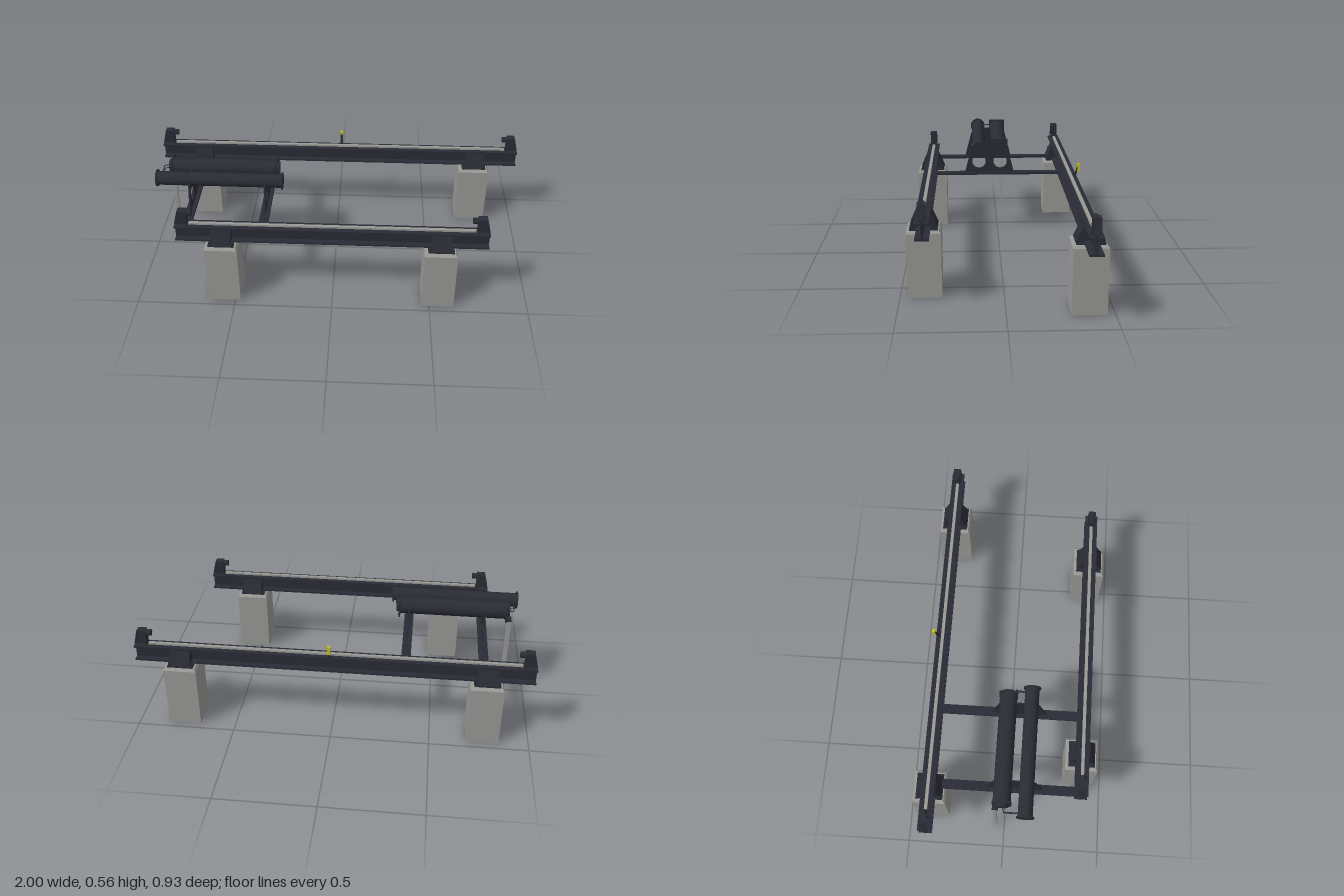
import * as THREE from 'three';

const steel = new THREE.MeshStandardMaterial({ color: 0x2b2b35, name: 'darkSteel' });
const concrete = new THREE.MeshStandardMaterial({ color: 0x999996, name: 'concreteGrey' });
const yellow = new THREE.MeshStandardMaterial({ color: 0xc8c010, name: 'signalYellow' });

function add(parent, name, geometry, material, x = 0, y = 0, z = 0) {
  const mesh = new THREE.Mesh(geometry, material);
  mesh.name = name;
  mesh.position.set(x, y, z);
  parent.add(mesh);
  return mesh;
}

const box = (w, h, d) => new THREE.BoxGeometry(w, h, d);
const rod = (r, length, sides = 32) => new THREE.CylinderGeometry(r, r, length, sides).rotateZ(Math.PI / 2);
const polygon = (pts) => new THREE.Shape(pts.map(([a, b]) => new THREE.Vector2(a, b)));

// Extrudes a shape along z, centred on z = 0
function slab(shape, depth) {
  return new THREE.ExtrudeGeometry(shape, { depth, bevelEnabled: false }).translate(0, 0, -depth / 2);
}
// Extrudes a profile drawn in (z, y) along x, centred on x = 0
const slabX = (shape, depth) => slab(shape, depth).rotateY(-Math.PI / 2);

// Concrete block with a chamfered top edge
function pier(parent, x, z) {
  const shaft = new THREE.CylinderGeometry(0.0825 * Math.SQRT2, 0.0825 * Math.SQRT2, 0.322, 4, 1, true).rotateY(Math.PI / 4);
  const group = new THREE.Group();
  group.name = 'pier';
  group.position.set(x, 0, z);
  parent.add(group);
  add(group, 'pierBlock', shaft.toNonIndexed(), concrete, 0, 0.161, 0).geometry.computeVertexNormals();
  const cap = new THREE.CylinderGeometry(0.073 * Math.SQRT2, 0.0825 * Math.SQRT2, 0.012, 4).rotateY(Math.PI / 4).toNonIndexed();
  cap.computeVertexNormals();
  add(group, 'pierCap', cap, concrete, 0, 0.328, 0);
  add(group, 'pierBottom', box(0.165, 0.004, 0.165), concrete, 0, 0.002, 0);

  // Bolted saddle clamping the beam
  add(group, 'basePlate', box(0.13, 0.008, 0.135), steel, 0, 0.338, 0);
  for (const sx of [-1, 1]) {
    for (const sz of [-1, 1]) {
      const gusset = polygon([[0.003, 0.34], [0.066 * sz, 0.34], [0.066 * sz, 0.348], [0.034 * sz, 0.42], [0.003 * sz, 0.42]]);
      add(group, 'gusset', slabX(gusset, 0.006), steel, sx * 0.047, 0, 0);
      add(group, 'anchorBolt', new THREE.CylinderGeometry(0.005, 0.005, 0.014, 6), steel, sx * 0.058, 0.347, sz * 0.055);
    }
  }
  // Sloping cheek plates between the gussets
  for (const sz of [-1, 1]) {
    const cheek = add(group, 'cheekPlate', box(0.094, 0.076, 0.004), steel, 0, 0.382, sz * 0.049);
    cheek.rotation.x = -sz * 0.41;
  }
}

// Tapered stop at a beam end with a bumper pointing inward
function endStop(parent, x, z, side) {
  const group = new THREE.Group();
  group.name = 'endStop';
  group.position.set(x, 0, z);
  group.scale.x = side;
  parent.add(group);
  const web = polygon([[-0.072, 0.424], [-0.004, 0.424], [-0.004, 0.437], [-0.022, 0.51], [-0.06, 0.51], [-0.06, 0.45]]);
  add(group, 'stopWeb', slab(web, 0.012), steel);
  add(group, 'stopFace', box(0.008, 0.086, 0.038), steel, -0.06, 0.467, 0);
  const back = add(group, 'stopBack', box(0.006, 0.076, 0.038), steel, -0.014, 0.472, 0);
  back.rotation.z = 0.242;
  add(group, 'stopTop', box(0.04, 0.005, 0.038), steel, -0.041, 0.5075, 0);
  add(group, 'bumper', rod(0.016, 0.026, 16), steel, -0.077, 0.494, 0);
}

// I-beam with a running rail on top
function runway(parent, x0, x1, z, pierXs) {
  const group = new THREE.Group();
  group.name = 'runway';
  parent.add(group);
  const length = x1 - x0, mid = (x0 + x1) / 2;
  const w = 0.033, t = 0.004, lo = 0.342, hi = 0.426, f = 0.009;
  const profile = polygon([[-w, lo], [w, lo], [w, lo + f], [t, lo + f], [t, hi - f], [w, hi - f],
    [w, hi], [-w, hi], [-w, hi - f], [-t, hi - f], [-t, lo + f], [-w, lo + f]]);
  add(group, 'iBeam', slabX(profile, length), steel, mid, 0, z);
  add(group, 'railBar', box(length - 0.14, 0.01, 0.016), concrete, mid, 0.431, z);
  endStop(group, x0, z, -1);
  endStop(group, x1, z, 1);
  for (const px of pierXs) pier(group, px, z);
}

// Trapezoid drum bracket with two ten-sided openings
function drumBracket(parent, x) {
  const shape = polygon([[0.187, 0.356], [0.184, 0.372], [0.15, 0.5], [0.128, 0.53], [-0.035, 0.53], [-0.056, 0.5], [-0.09, 0.372], [-0.092, 0.356]]);
  for (const z of [0.107, -0.015]) {
    const hole = new THREE.Path();
    for (let i = 0; i <= 10; i++) {
      const a = (i / 10) * Math.PI * 2 + Math.PI / 10;
      const p = [z + 0.04 * Math.cos(a), 0.42 + 0.04 * Math.sin(a)];
      i ? hole.lineTo(...p) : hole.moveTo(...p);
    }
    shape.holes.push(hole);
  }
  add(parent, 'drumBracket', slabX(shape, 0.008), steel, x, 0, 0);
}

function cable(parent, points) {
  const curve = new THREE.CatmullRomCurve3(points.map((p) => new THREE.Vector3(...p)), false, 'catmullrom', 0.2);
  add(parent, 'cable', new THREE.TubeGeometry(curve, 24, 0.0025, 6), steel);
}

export function createModel() {
  const model = new THREE.Group();
  model.name = 'craneRunway';

  runway(model, -1, 1, -0.38, [-0.767, 0.763]);
  runway(model, -0.787, 0.777, 0.38, [-0.555, 0.541]);

  // Cross members carrying the drums
  for (const x of [-0.752, -0.361]) {
    add(model, 'crossMember', box(0.048, 0.012, 0.72), steel, x, 0.351, 0);
    drumBracket(model, x);
  }

  // Front cable drum with round flanges
  const drum = new THREE.Group();
  drum.name = 'frontDrum';
  drum.position.set(-0.597, 0.511, 0.108);
  model.add(drum);
  add(drum, 'drumBody', rod(0.036, 0.64), steel);
  for (const s of [-1, 1]) {
    add(drum, 'drumFlange', rod(0.044, 0.008), steel, s * 0.324);
    add(drum, 'drumHub', rod(0.034, 0.004), steel, s * 0.327);
  }

  // Rear drive housing with square end plates
  const drive = new THREE.Group();
  drive.name = 'driveHousing';
  drive.position.set(-0.587, 0.514, -0.009);
  model.add(drive);
  add(drive, 'driveBody', rod(0.044, 0.55), steel);
  for (const s of [-1, 1]) {
    const plate = polygon([[-0.047, -0.047], [0.047, -0.047], [0.047, 0.042], [0.042, 0.047], [-0.042, 0.047], [-0.047, 0.042]]);
    add(drive, 'endPlate', slabX(plate, 0.008), steel, s * 0.274);
    add(drive, 'endCap', rod(0.034, 0.026), steel, s * 0.278);
    for (let i = 0; i < 4; i++) {
      const a = Math.PI / 4 + (i * Math.PI) / 2;
      add(drive, 'plateBolt', rod(0.004, 0.012, 6), steel, s * 0.276, 0.052 * Math.sin(a), 0.052 * Math.cos(a));
    }
  }

  // Cables linking the two drums
  for (const y of [0.503, 0.52]) {
    cable(model, [[-0.872, y, -0.005], [-0.903, y, 0.005], [-0.903, y, 0.04], [-0.903, y, 0.085]]);
    cable(model, [[-0.305, y, 0.022], [-0.294, y, 0.03], [-0.294, y, 0.05], [-0.294, y, 0.085]]);
  }
  add(model, 'cableClip', box(0.012, 0.032, 0.008), steel, -0.296, 0.512, 0.03);

  // Conduit rising from the ground to the drive
  add(model, 'conduit', box(0.022, 0.475, 0.016), concrete, -0.878, 0.2375, -0.044);
  add(model, 'conduitHead', box(0.03, 0.016, 0.03), steel, -0.873, 0.48, -0.04);

  // Position switch on the back beam
  const arm = add(model, 'switchArm', slabX(polygon([[-0.402, 0.424], [-0.392, 0.424], [-0.414, 0.49], [-0.42, 0.49]]), 0.014), steel, 0.013, 0, 0);
  arm.position.z = -0.003;
  add(model, 'switchBody', box(0.016, 0.03, 0.012), yellow, 0.013, 0.478, -0.42);
  add(model, 'switchTop', box(0.016, 0.01, 0.017), yellow, 0.013, 0.494, -0.42);
  add(model, 'switchFoot', box(0.016, 0.01, 0.017), yellow, 0.013, 0.46, -0.42);

  return model;
}
